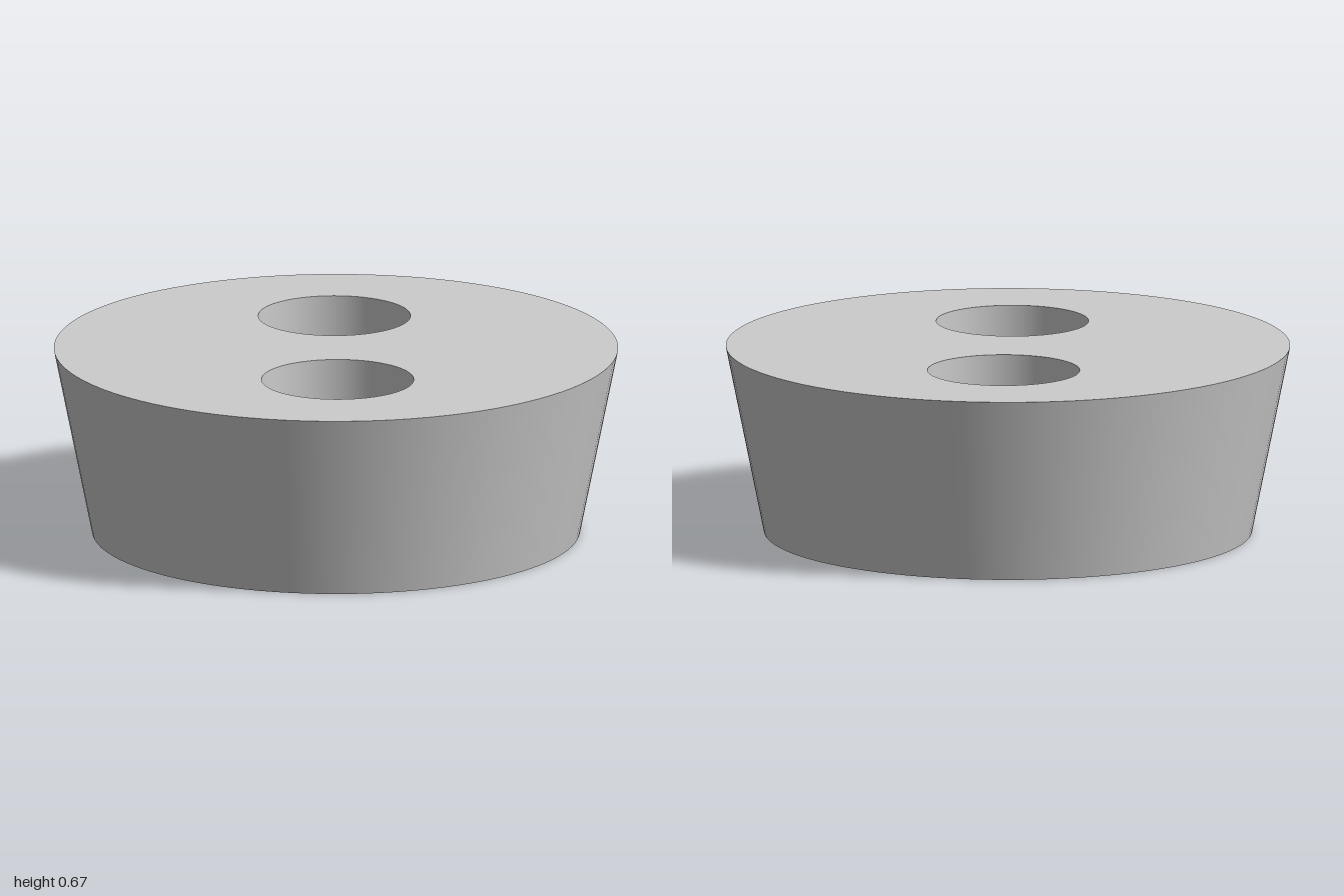
import * as THREE from 'three';

const HEIGHT = 0.67, TOP_R = 1, BOTTOM_R = 0.865;
const HOLE_R = 0.27, HOLES_Z = [-0.435, 0.43];
const SEGMENTS = 96;

export function createModel() {
  const group = new THREE.Group();
  group.name = 'taperedDisc';
  const material = new THREE.MeshStandardMaterial({ color: 0xcccccc });

  const add = (name, geometry, y = 0, z = 0) => {
    const mesh = new THREE.Mesh(geometry, material);
    mesh.name = name;
    mesh.position.set(0, y, z);
    group.add(mesh);
  };

  // Flat face with both holes; up = 1 faces up, up = -1 faces down
  const face = (radius, up) => {
    const shape = new THREE.Shape().absarc(0, 0, radius, 0, Math.PI * 2);
    for (const z of HOLES_Z) {
      shape.holes.push(new THREE.Path().absarc(0, -up * z, HOLE_R, 0, Math.PI * 2, true));
    }
    return new THREE.ShapeGeometry(shape, SEGMENTS / 2).rotateX(-up * Math.PI / 2);
  };

  // Tapered outer wall
  add('outerWall', new THREE.CylinderGeometry(TOP_R, BOTTOM_R, HEIGHT, SEGMENTS, 1, true), HEIGHT / 2);

  // Top and bottom faces
  add('topFace', face(TOP_R, 1), HEIGHT);
  add('bottomFace', face(BOTTOM_R, -1));

  // Straight through-holes: profile runs downward so the walls face inward
  const bore = [new THREE.Vector2(HOLE_R, HEIGHT), new THREE.Vector2(HOLE_R, 0)];
  HOLES_Z.forEach((z, i) => {
    add(i ? 'frontHole' : 'backHole', new THREE.LatheGeometry(bore, SEGMENTS), 0, z);
  });

  return group;
}
